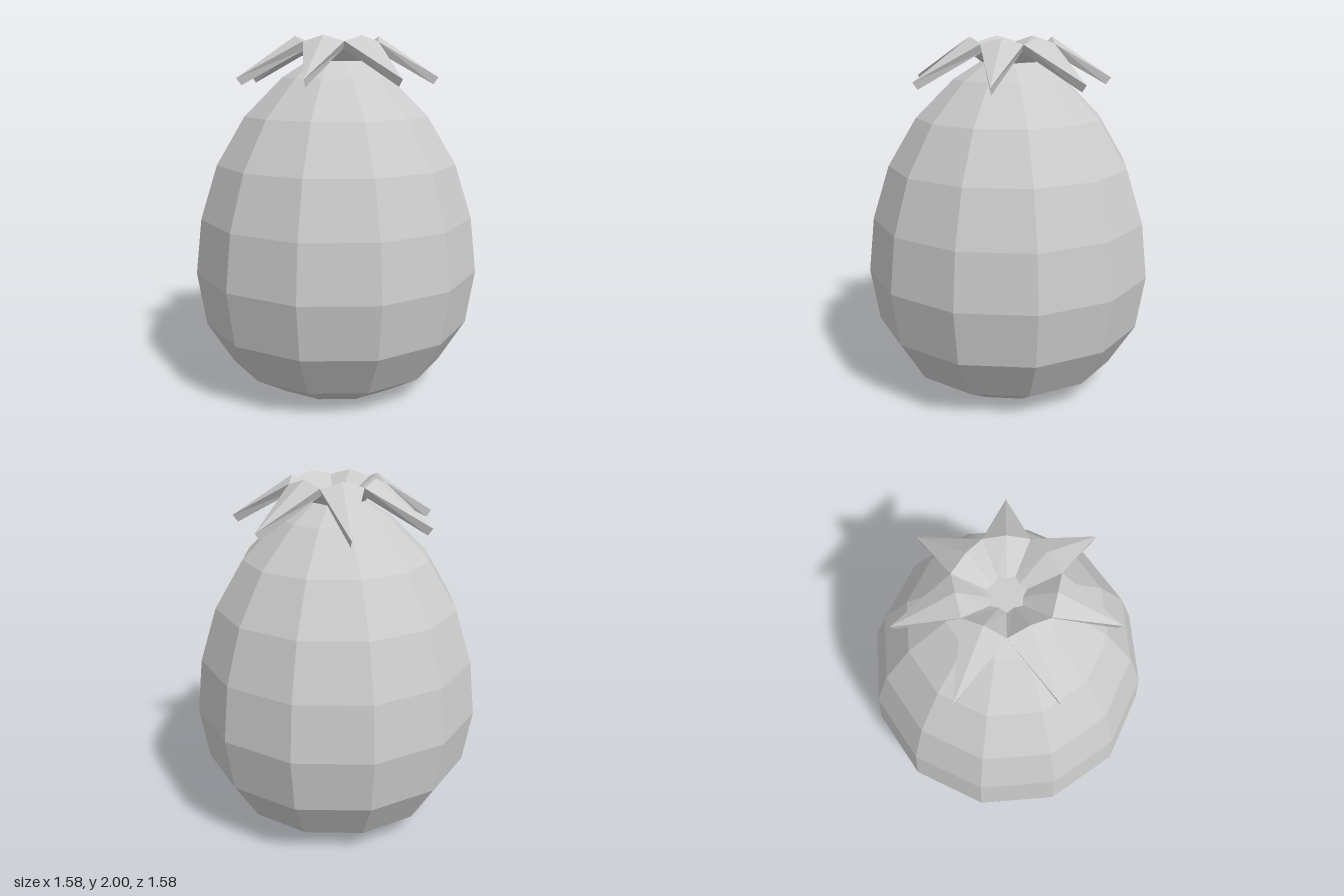
import * as THREE from 'three';

const SIDES = 12;
const LEAVES = 7;

// Closed solid for one leaf and its slice of the flared crown, pointing along +x
function leafGeometry() {
  const half = Math.PI / LEAVES;
  const at = (r, y, t = 0) => [r * Math.cos(t), y, r * Math.sin(t)];
  // Upper and lower skins: tip, ridge at the rim, rim corner, ridge and corner at the throat
  const skin = (tip, ridge, corner, floorMid, floorCorner) => ({
    tip: at(...tip),
    M: at(...ridge), R: at(...corner, -half), L: at(...corner, half),
    fM: at(...floorMid), fR: at(...floorCorner, -half), fL: at(...floorCorner, half),
  });
  const top = skin([0.578, 1.775], [0.24, 2.0], [0.265, 1.967], [0.08, 1.872], [0.1, 1.872]);
  const low = skin([0.55, 1.737], [0.225, 1.955], [0.235, 1.93], [0.12, 1.85], [0.135, 1.85]);
  const pos = [];
  const face = (p) => {
    for (let i = 1; i < p.length - 1; i++) pos.push(...p[0], ...p[i], ...p[i + 1]);
  };
  const facesOf = (s) => [
    [s.tip, s.R, s.M], [s.tip, s.M, s.L],
    [s.M, s.R, s.fR, s.fM], [s.L, s.M, s.fM, s.fL],
  ];
  facesOf(top).forEach(face);
  facesOf(low).forEach((p) => face(p.reverse()));
  // Edges of the leaf
  face([top.tip, low.tip, low.R, top.R]);
  face([top.L, low.L, low.tip, top.tip]);
  // Floor of the hollow
  const c = [0, 1.872, 0];
  face([c, top.fM, top.fR]);
  face([c, top.fL, top.fM]);

  const g = new THREE.BufferGeometry();
  g.setAttribute('position', new THREE.Float32BufferAttribute(pos, 3));
  g.computeVertexNormals();
  return g;
}

export function createModel() {
  const model = new THREE.Group();
  model.name = 'fruit';
  const grey = new THREE.MeshStandardMaterial({ color: 0xcccccc, flatShading: true });
  grey.name = 'lightGrey';

  // Egg-shaped body: [half width, height]
  const profile = [
    [0, 0], [0.39, 0], [0.6, 0.137], [0.745, 0.385], [0.79, 0.69], [0.755, 1.0],
    [0.662, 1.3], [0.507, 1.565], [0.3, 1.775], [0.16, 1.865], [0, 1.865],
  ].map(([w, y]) => new THREE.Vector2(w / Math.cos(Math.PI / SIDES), y));
  const body = new THREE.Mesh(
    new THREE.LatheGeometry(profile, SIDES, Math.PI / SIDES), grey);
  body.name = 'body';
  model.add(body);

  // Crown of drooping leaves, one pointing along -x
  const crown = new THREE.Group();
  crown.name = 'crown';
  const geometry = leafGeometry();
  for (let i = 0; i < LEAVES; i++) {
    const leaf = new THREE.Mesh(geometry, grey);
    leaf.name = 'leaf';
    leaf.rotation.y = Math.PI + (i * 2 * Math.PI) / LEAVES;
    crown.add(leaf);
  }
  model.add(crown);
  return model;
}
